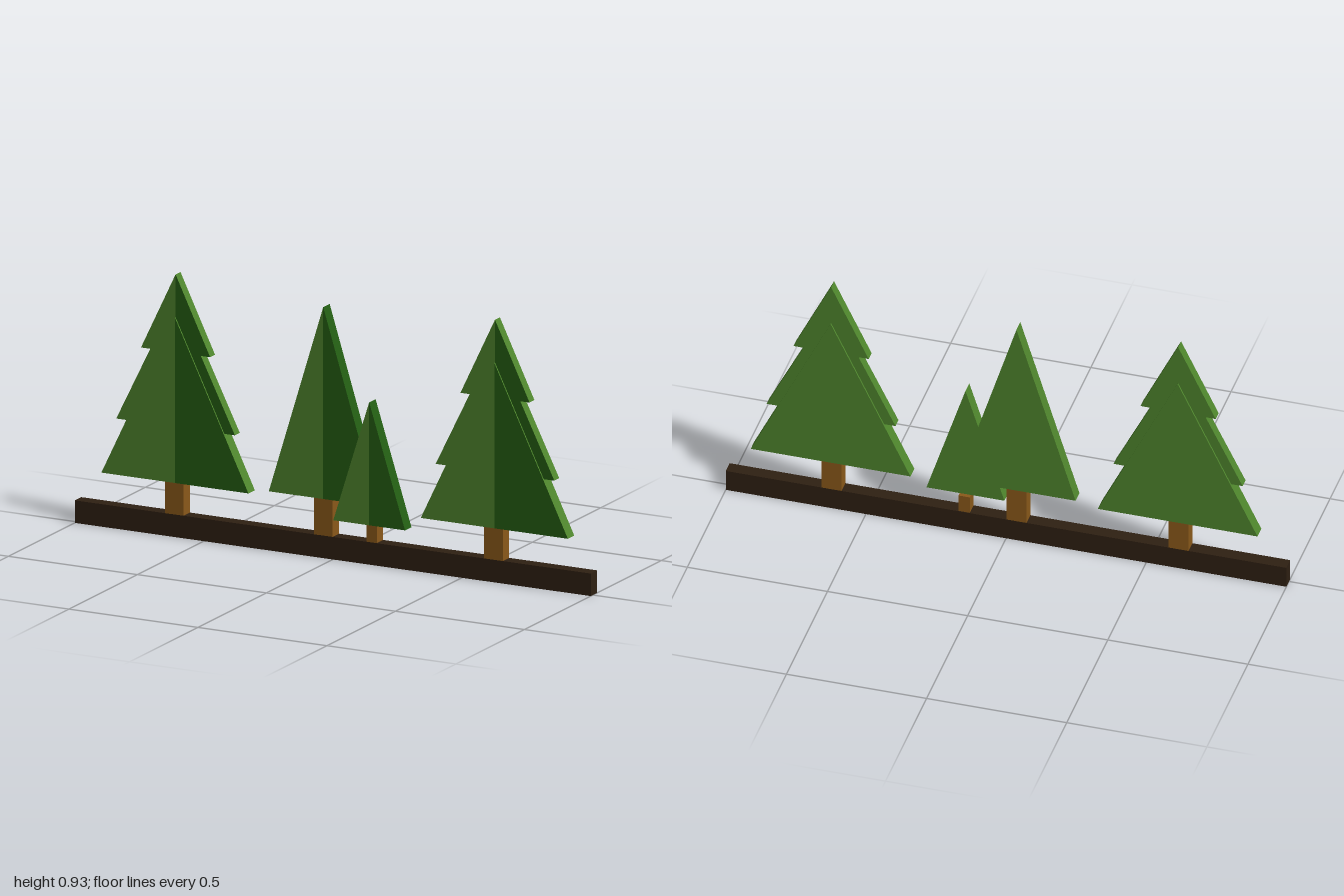
import * as THREE from 'three';

const material = (color) => new THREE.MeshStandardMaterial({ color, flatShading: true });

export function createModel() {
  const light = material(0x4f862d), dark = material(0x245f13);
  const wood = material(0x8b5a1a), soil = material(0x2f2012);
  const model = new THREE.Group();
  model.name = 'treeRow';

  function box(name, mat, x, y0, y1, z0, z1, width, parent) {
    const mesh = new THREE.Mesh(new THREE.BoxGeometry(width, y1 - y0, z1 - z0), mat);
    mesh.position.set(x, (y0 + y1) / 2, (z0 + z1) / 2);
    mesh.name = name;
    parent.add(mesh);
  }

  // Symmetric foliage slab from a right-half outline; the right half of the
  // front (and optionally its slanted edge) is dark, everything else light
  function foliage(name, outline, z0, z1, darkEdge) {
    const lit = [], shaded = [];
    for (const side of [-1, 1]) {
      const shape = new THREE.Shape(outline.map(([x, y]) => new THREE.Vector2(x * side, y)));
      const geo = new THREE.ExtrudeGeometry(shape, { depth: z1 - z0, bevelEnabled: false })
        .translate(0, 0, z0).toNonIndexed?.() ?? null;
      const p = geo.attributes.position, n = geo.attributes.normal;
      for (let i = 0; i < p.count; i += 3) {
        const corners = [0, 1, 2].map((k) => new THREE.Vector3().fromBufferAttribute(p, i + k));
        if (corners.every((c) => Math.abs(c.x) < 1e-5)) continue; // no wall on the seam
        const front = n.getZ(i) > 0.5, edge = n.getX(i) > 0.5;
        const target = side > 0 && (front || (darkEdge && edge)) ? shaded : lit;
        corners.forEach((c) => target.push(c.x, c.y, c.z));
      }
    }
    const group = new THREE.Group();
    group.name = name;
    for (const [label, data, mat] of [['lightFaces', lit, light], ['darkFaces', shaded, dark]]) {
      const geo = new THREE.BufferGeometry();
      geo.setAttribute('position', new THREE.Float32BufferAttribute(data, 3));
      geo.computeVertexNormals();
      const mesh = new THREE.Mesh(geo, mat);
      mesh.name = label;
      group.add(mesh);
    }
    return group;
  }

  function tree(name, x) {
    const group = new THREE.Group();
    group.name = name;
    group.position.x = x;
    model.add(group);
    return group;
  }

  // Ground strip
  box('groundStrip', soil, 0, 0, 0.08, -0.032, 0.015, 2, model);

  // Two large tiered trees: thin upper tiers and a thicker bottom tier
  for (const [name, x] of [['rightTieredTree', -0.612], ['leftTieredTree', 0.626]]) {
    const t = tree(name, x);
    t.add(foliage('upperTiers',
      [[0, 0.39], [0.23, 0.39], [0.098, 0.655], [0.134, 0.655], [0, 0.932]], -0.026, 0.01, false));
    t.add(foliage('bottomTier', [[0, 0.192], [0.285, 0.192], [0, 0.78]], -0.032, 0.015, false));
    box('trunk', wood, -0.003, 0.08, 0.192, -0.032, 0.015, 0.072, t);
  }

  // Slim middle tree
  const middle = tree('middleTree', -0.037);
  middle.add(foliage('foliage', [[0, 0.21], [0.211, 0.21], [0, 0.892]], -0.032, 0.015, true));
  box('trunk', wood, 0, 0.08, 0.21, -0.032, 0.015, 0.072, middle);

  // Small tree standing a little forward
  const small = tree('smallTree', 0.15);
  small.add(foliage('foliage', [[0, 0.145], [0.139, 0.145], [0, 0.582]], -0.015, 0.032, true));
  box('trunk', wood, 0, 0.08, 0.145, -0.03, 0.014, 0.04, small);

  return model;
}
